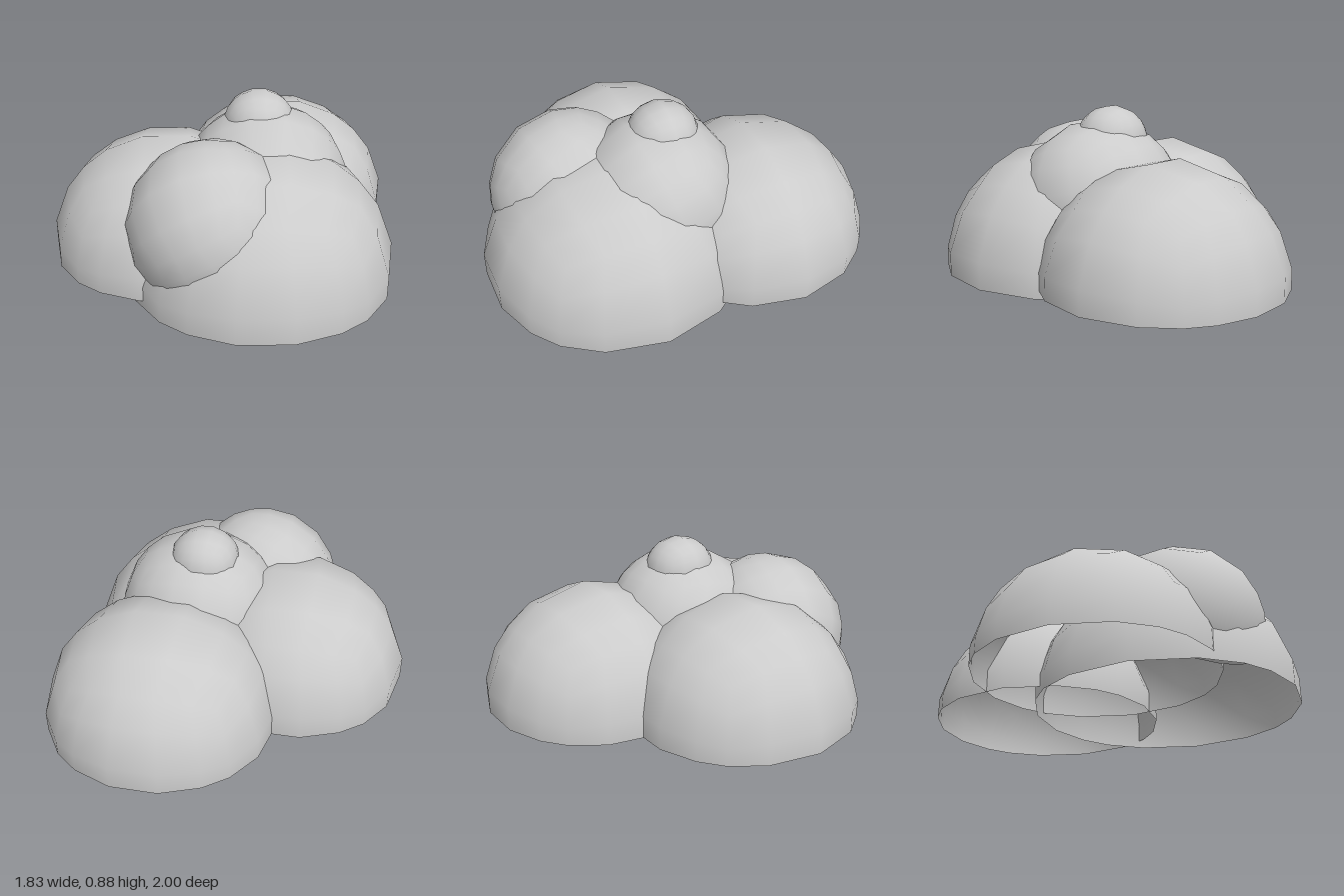
import * as THREE from 'three';
import { mergeVertices } from 'three/addons/utils/BufferGeometryUtils.js';

// Open half sphere of radius 1: a divided box rounded to a sphere, cut flat at y = 0
function domeGeometry() {
  const box = new THREE.BoxGeometry(2, 2, 2, 5, 5, 4);
  box.deleteAttribute('uv');
  box.deleteAttribute('normal');
  const geometry = mergeVertices(box);
  const pos = geometry.attributes.position;
  const v = new THREE.Vector3();
  const normals = [];
  for (let i = 0; i < pos.count; i++) {
    v.fromBufferAttribute(pos, i).normalize();
    v.y = Math.max(0, v.y);
    pos.setXYZ(i, v.x, v.y, v.z);
    v.normalize();
    normals.push(v.x, v.y, v.z);
  }
  // keep only faces that rise above the rim
  const index = geometry.index.array;
  const kept = [];
  for (let i = 0; i < index.length; i += 3) {
    const tri = [index[i], index[i + 1], index[i + 2]];
    if (tri.some((k) => pos.getY(k) > 1e-4)) kept.push(...tri);
  }
  geometry.setIndex(kept);
  geometry.setAttribute('normal', new THREE.Float32BufferAttribute(normals, 3));
  return geometry;
}

export function createModel() {
  const model = new THREE.Group();
  model.name = 'domeCluster';
  const material = new THREE.MeshStandardMaterial({ color: 0xcccccc, side: THREE.DoubleSide });
  const geometry = domeGeometry();
  const up = new THREE.Vector3(0, 1, 0);

  function addDome(name, radius, position, axis = [0, 1, 0]) {
    const dome = new THREE.Mesh(geometry, material);
    dome.name = name;
    dome.scale.setScalar(radius);
    dome.position.set(...position);
    dome.quaternion.setFromUnitVectors(up, new THREE.Vector3(...axis).normalize());
    model.add(dome);
  }

  // three large domes around the base
  addDome('frontDome', 0.70, [0.16, 0, 0.325]);
  addDome('backDome', 0.62, [0.30, 0.04, -0.40]);
  addDome('rightDome', 0.62, [-0.31, 0.04, 0.10]);
  // leaning dome between the front and right ones
  addDome('leaningDome', 0.43, [-0.08, 0.325, 0.47], [-0.5, 0.7, 0.45]);
  // tilted upper dome and its cap
  addDome('upperDome', 0.44, [0.20, 0.365, 0.10], [0, 0.955, 0.295]);
  addDome('topCap', 0.187, [0.165, 0.693, 0.05]);
  return model;
}
